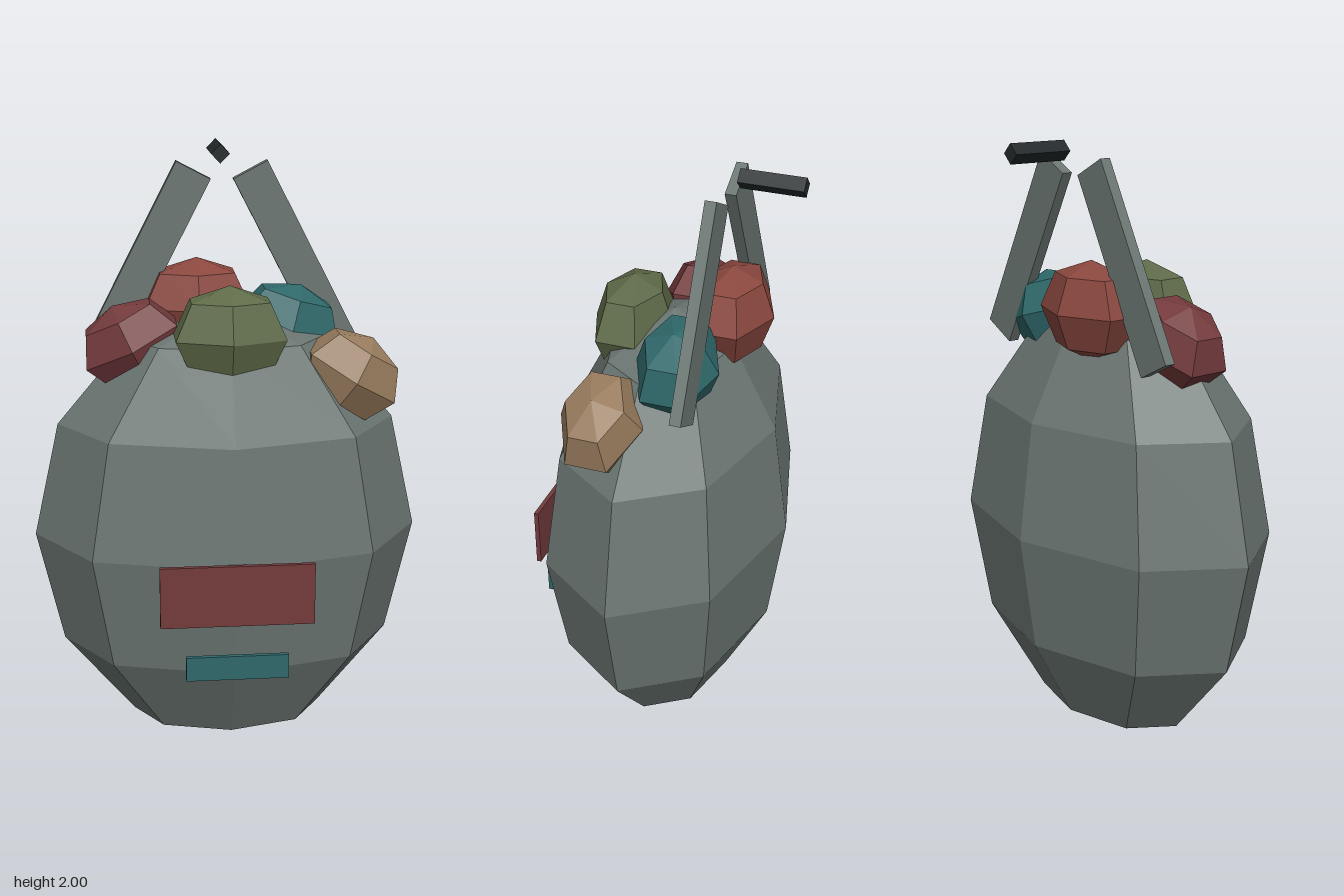
import * as THREE from 'three';

const mat = (color) => new THREE.MeshStandardMaterial({ color, flatShading: true });

export function createModel() {
  const model = new THREE.Group();
  const add = (name, geometry, material, x, y, z, tilt = 0) => {
    const mesh = new THREE.Mesh(geometry, material);
    mesh.name = name;
    mesh.position.set(x, y, z);
    mesh.rotation.z = tilt;
    model.add(mesh);
    return mesh;
  };

  const cloth = mat(0x6b7672);
  const darkRed = mat(0x733a3c);
  const teal = mat(0x2f686a);

  // Faceted sack body
  add('sack', new THREE.SphereGeometry(1, 8, 6).scale(0.633, 0.753, 0.391), cloth, 0, 0.757, -0.006);

  // Bundles heaped around the top: name, material, centre, radii, tilt
  const bundles = [
    ['frontBundle', mat(0x5e6a48), [0, 1.44, 0.128], [0.2, 0.163, 0.13], 0],
    ['backBundle', mat(0x8a473e), [-0.083, 1.485, -0.168], [0.2, 0.157, 0.135], 0],
    ['rightBundle', darkRed, [-0.305, 1.395, -0.01], [0.185, 0.136, 0.14], 0.45],
    ['leftBundle', teal, [0.21, 1.43, -0.09], [0.187, 0.138, 0.132], -0.3],
    ['sideBundle', mat(0x967a5c), [0.39, 1.302, 0.087], [0.182, 0.138, 0.132], -0.55],
  ];
  for (const [name, material, centre, radii, tilt] of bundles) {
    const geometry = new THREE.SphereGeometry(1, 6, 4).rotateY(Math.PI / 2).scale(...radii);
    add(name, geometry, material, ...centre, tilt);
  }

  // Straps leaning together at the top
  for (const side of [-1, 1]) {
    add(side < 0 ? 'rightStrap' : 'leftStrap', new THREE.BoxGeometry(0.125, 0.65, 0.036),
      cloth, side * 0.242, 1.636, -0.166, side * 0.48);
  }

  // Four-sided peg behind the straps
  add('peg', new THREE.CylinderGeometry(0.031, 0.031, 0.2, 4).rotateX(Math.PI / 2),
    mat(0x23292b), 0, 1.969, -0.306);

  // Patches in front of the sack
  add('largePatch', new THREE.BoxGeometry(0.484, 0.2, 0.015), darkRed, 0, 0.68, 0.398);
  add('smallPatch', new THREE.BoxGeometry(0.325, 0.08, 0.015), teal, 0, 0.437, 0.398);

  return model;
}
